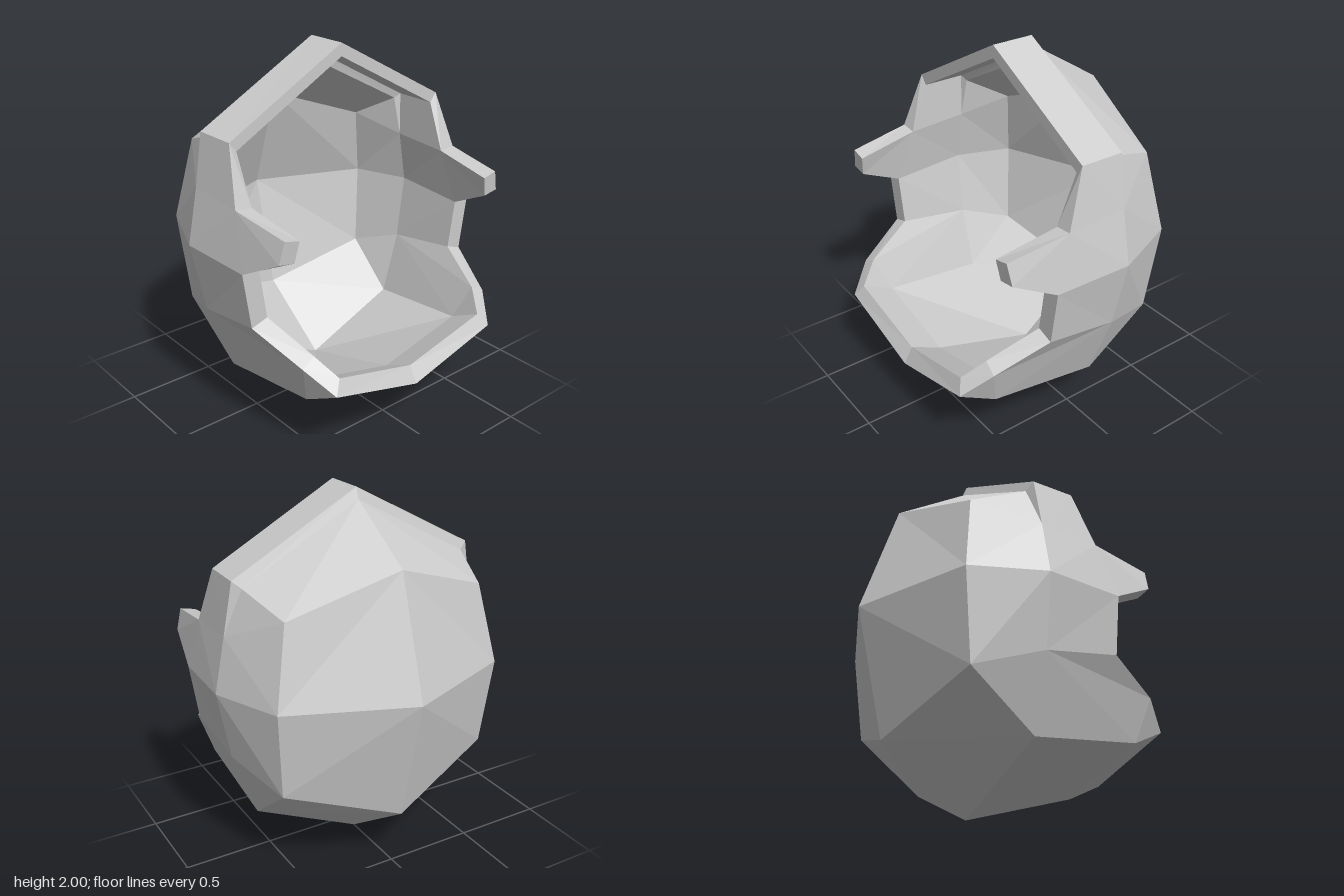
import * as THREE from 'three';

// Control points of one half (x >= 0). C: centre line, A: second column, S: side column,
// B: rear edge of the brow band, F: edge of the face opening from brow to chin.
const OUTER = {
  C0: [0, 1.94, -0.13], C1: [0, 1.68, -0.54], C2: [0, 1.04, -0.745], C3: [0, 0.34, -0.585],
  C4: [0, 0, -0.1], C5: [0, 0.2, 0.55],
  A0: [0.66, 1.58, -0.13], A1: [0.575, 1.48, -0.41], A2: [0.66, 1.04, -0.48],
  A3: [0.62, 0.55, -0.43], A4: [0.6, 0.27, -0.07], A5: [0.58, 0.35, 0.55],
  S1: [0.755, 1.34, -0.1], S2: [0.815, 1.04, -0.1], S3: [0.74, 0.655, -0.085],
  B0: [0, 2, -0.11], B1: [0.705, 1.62, -0.11],
  F0: [0, 2, 0.13], F1: [0.7, 1.62, 0.13], F2: [0.75, 1.32, 0.235], F3: [0.72, 1.27, 0.58],
  F4: [0.75, 1.155, 0.57], F5: [0.79, 1.03, 0.33], F6: [0.745, 0.72, 0.33],
  F7: [0.65, 0.58, 0.61], F8: [0.55, 0.45, 0.75], F9: [0, 0.3, 0.75],
};
const INNER = {
  C0: [0, 1.88, -0.12], C1: [0, 1.62, -0.45], C2: [0, 1.04, -0.64], C3: [0, 0.42, -0.5],
  C4: [0, 0.11, -0.09], C5: [0, 0.3, 0.52],
  A0: [0.62, 1.55, -0.12], A1: [0.52, 1.43, -0.34], A2: [0.595, 1.04, -0.4],
  A3: [0.55, 0.59, -0.36], A4: [0.52, 0.36, -0.06], A5: [0.5, 0.43, 0.53],
  S1: [0.655, 1.33, -0.1], S2: [0.705, 1.04, -0.1], S3: [0.64, 0.69, -0.08],
  B0: [0, 1.93, -0.11], B1: [0.66, 1.57, -0.11],
  F0: [0, 1.93, 0.13], F1: [0.66, 1.57, 0.13], F2: [0.655, 1.31, 0.235], F3: [0.635, 1.25, 0.58],
  F4: [0.66, 1.14, 0.57], F5: [0.69, 1.02, 0.33], F6: [0.65, 0.75, 0.33],
  F7: [0.57, 0.62, 0.6], F8: [0.5, 0.52, 0.71], F9: [0, 0.39, 0.7],
};

// Facets of each region, counter-clockwise from outside.
const REGIONS = {
  Crown: 'C0 A0 A1 C1, A0 S1 A1',
  Back: 'C1 A1 A2 C2, C2 A2 A3 C3, S1 S2 A2 A1, S2 S3 A3 A2, S3 A4 A3',
  Base: 'C3 A3 A4 C4, C4 A4 A5 C5',
  Chin: 'C5 A5 F8 F9, F7 F8 A5',
  Cheek: 'F5 F6 S3 S2, S3 F6 F7, S3 F7 A5, S3 A5 A4',
  Temple: 'F1 F2 S1 B1, F2 F5 S2 S1',
  Prong: 'F2 F3 F4 F5',
  BrowBand: 'B0 F0 F1 B1, B0 B1 A0 C0, B1 S1 A0',
};

// Fans each polygon into triangles and adds its mirror image.
function facetMesh(name, polygons, material, flip = false) {
  const pos = [];
  for (const poly of polygons) {
    for (let i = 1; i < poly.length - 1; i++) {
      const tri = [poly[0], poly[i], poly[i + 1]];
      if (flip) tri.reverse();
      for (const [x, y, z] of tri) pos.push(x, y, z);
      for (const [x, y, z] of tri.reverse()) pos.push(-x, y, z);
    }
  }
  const geometry = new THREE.BufferGeometry();
  geometry.setAttribute('position', new THREE.Float32BufferAttribute(pos, 3));
  geometry.computeVertexNormals();
  const mesh = new THREE.Mesh(geometry, material);
  mesh.name = name;
  return mesh;
}

export function createModel() {
  const model = new THREE.Group();
  model.name = 'helmet';
  const material = new THREE.MeshStandardMaterial({ color: 0xcccccc, flatShading: true });

  // Outer shell and inner lining share one layout of facets
  for (const [prefix, points, flip] of [['outer', OUTER, false], ['inner', INNER, true]]) {
    const layer = new THREE.Group();
    layer.name = prefix + 'Shell';
    for (const [region, list] of Object.entries(REGIONS)) {
      const polygons = list.split(', ').map((f) => f.split(' ').map((k) => points[k]));
      layer.add(facetMesh(prefix + region, polygons, material, flip));
    }
    model.add(layer);
  }

  // Rim joining both layers around the face opening
  const rim = [];
  for (let i = 0; i < 9; i++) {
    const a = 'F' + i, b = 'F' + (i + 1);
    rim.push([OUTER[a], INNER[a], INNER[b], OUTER[b]]);
  }
  model.add(facetMesh('faceOpeningRim', rim, material));
  return model;
}
